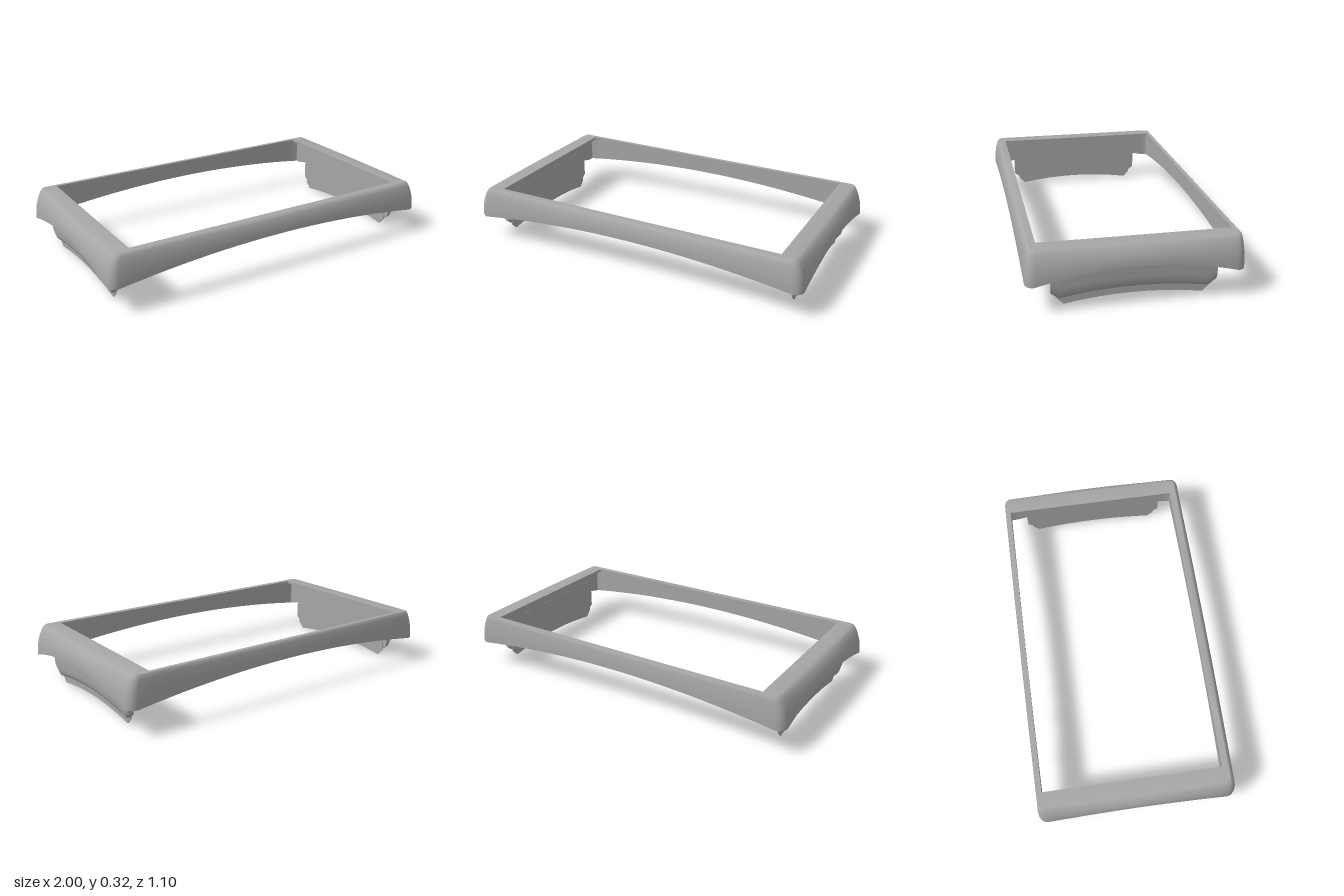
import * as THREE from 'three';
import { toCreasedNormals } from 'three/addons/utils/BufferGeometryUtils.js';

// Skin a list of closed rings; wrap joins last ring to first, otherwise ends are capped.
function loft(rings, wrap, crease) {
  const n = rings[0].length, m = rings.length, index = [];
  for (let j = 0; j < (wrap ? m : m - 1); j++) {
    for (let i = 0; i < n; i++) {
      const k = (i + 1) % n, up = ((j + 1) % m) * n;
      const a = j * n + i, b = j * n + k, c = up + i, d = up + k;
      index.push(a, c, b, b, c, d);
    }
  }
  if (!wrap) {
    const e = (m - 1) * n;
    for (let i = 1; i < n - 1; i++) index.push(0, i, i + 1, e, e + i + 1, e + i);
  }
  const geo = new THREE.BufferGeometry();
  geo.setAttribute('position', new THREE.Float32BufferAttribute(rings.flat(2), 3));
  geo.setIndex(index);
  return toCreasedNormals(geo, crease);
}

// Rounded rectangle in plan, with evenly divided straight sides.
function plan(hx, zBack, zFront, r) {
  const pts = [], arc = 6, div = 28;
  const corners = [[hx - r, zFront - r], [-hx + r, zFront - r], [-hx + r, zBack + r], [hx - r, zBack + r]];
  corners.forEach(([cx, cz], q) => {
    for (let s = 0; s <= arc; s++) {
      const t = (q + s / arc) * Math.PI / 2;
      pts.push([cx + r * Math.cos(t), cz + r * Math.sin(t)]);
    }
    const [sx, sz] = pts[pts.length - 1];
    const [nx, nz] = corners[(q + 1) % 4];
    const t = (q + 1) * Math.PI / 2;
    const ex = nx + r * Math.cos(t), ez = nz + r * Math.sin(t);
    for (let s = 1; s < div; s++) pts.push([sx + (ex - sx) * s / div, sz + (ez - sz) * s / div]);
  });
  return pts;
}

const TOP = 0.318;
// Lower edge of the frame arches up in the middle of every side.
const lowerEdge = (x, z) => 0.216 - 0.069 * Math.min(1, (x / 0.95) ** 2, (z / 0.51) ** 2);

function frameGeometry() {
  // half width, back z, front z, corner radius, height (0 = lower edge, 1 = top)
  const levels = [
    [1.0, -0.549, 0.549, 0.05, 0],
    [0.999, -0.549, 0.549, 0.05, 0.2],
    [0.993, -0.547, 0.546, 0.048, 0.45],
    [0.982, -0.544, 0.54, 0.044, 0.67],
    [0.967, -0.54, 0.532, 0.036, 0.86],
    [0.955, -0.537, 0.524, 0.03, 0.96],
    [0.943, -0.533, 0.515, 0.022, 1],
    [0.86, -0.51, 0.48, 0.003, 1],
    [0.86, -0.51, 0.48, 0.003, 0.9],
    [0.9, -0.516, 0.49, 0.004, 0.9],
    [0.9, -0.516, 0.49, 0.004, 0],
  ];
  const rings = levels.map(([hx, zb, zf, r, t]) => plan(hx, zb, zf, r).map(([x, z]) => {
    const low = lowerEdge(x, z);
    return [x, low + (TOP - low) * t, z];
  }));
  return loft(rings, true, 0.5);
}

// Plate running along z with an arched lower edge and chamfered ends.
function clipGeometry(profile, { middle, drop, reach, end, endY }) {
  const zs = [-end];
  for (let i = 0; i <= 24; i++) zs.push(reach * (i / 12 - 1));
  zs.push(end);
  const rings = zs.map((z) => {
    const low = Math.abs(z) > reach + 1e-6 ? endY : middle - drop * (z / reach) ** 2;
    return profile.map(([x, dy]) => [x, dy === null ? 0.25 : low + dy, z]);
  });
  return loft(rings, false, 0.6);
}

export function createModel() {
  const model = new THREE.Group();
  const grey = new THREE.MeshStandardMaterial({ color: 0xa6a6a6 });
  grey.name = 'grey plastic';

  const add = (parent, name, geo) => {
    const mesh = new THREE.Mesh(geo, grey);
    mesh.name = name;
    parent.add(mesh);
  };

  add(model, 'bezelFrame', frameGeometry());

  // Outer hook with a rounded foot; null marks the top buried in the frame.
  const hook = clipGeometry(
    [[0.94, null], [0.938, 0.06], [0.935, 0.03], [0.928, 0.01], [0.918, 0], [0.903, 0], [0.903, null]],
    { middle: 0.072, drop: 0.033, reach: 0.38, end: 0.42, endY: 0.07 });
  // Thin inner tongue that hangs below the hook.
  const tongue = clipGeometry(
    [[0.905, null], [0.905, 0], [0.899, 0], [0.899, null]],
    { middle: 0.03, drop: 0.03, reach: 0.355, end: 0.39, endY: 0.036 });

  for (const [side, turn] of [['left', 0], ['right', Math.PI]]) {
    const clip = new THREE.Group();
    clip.name = side + 'Clip';
    add(clip, side + 'Hook', hook);
    add(clip, side + 'Tongue', tongue);
    clip.rotation.y = turn;
    model.add(clip);
  }
  return model;
}
